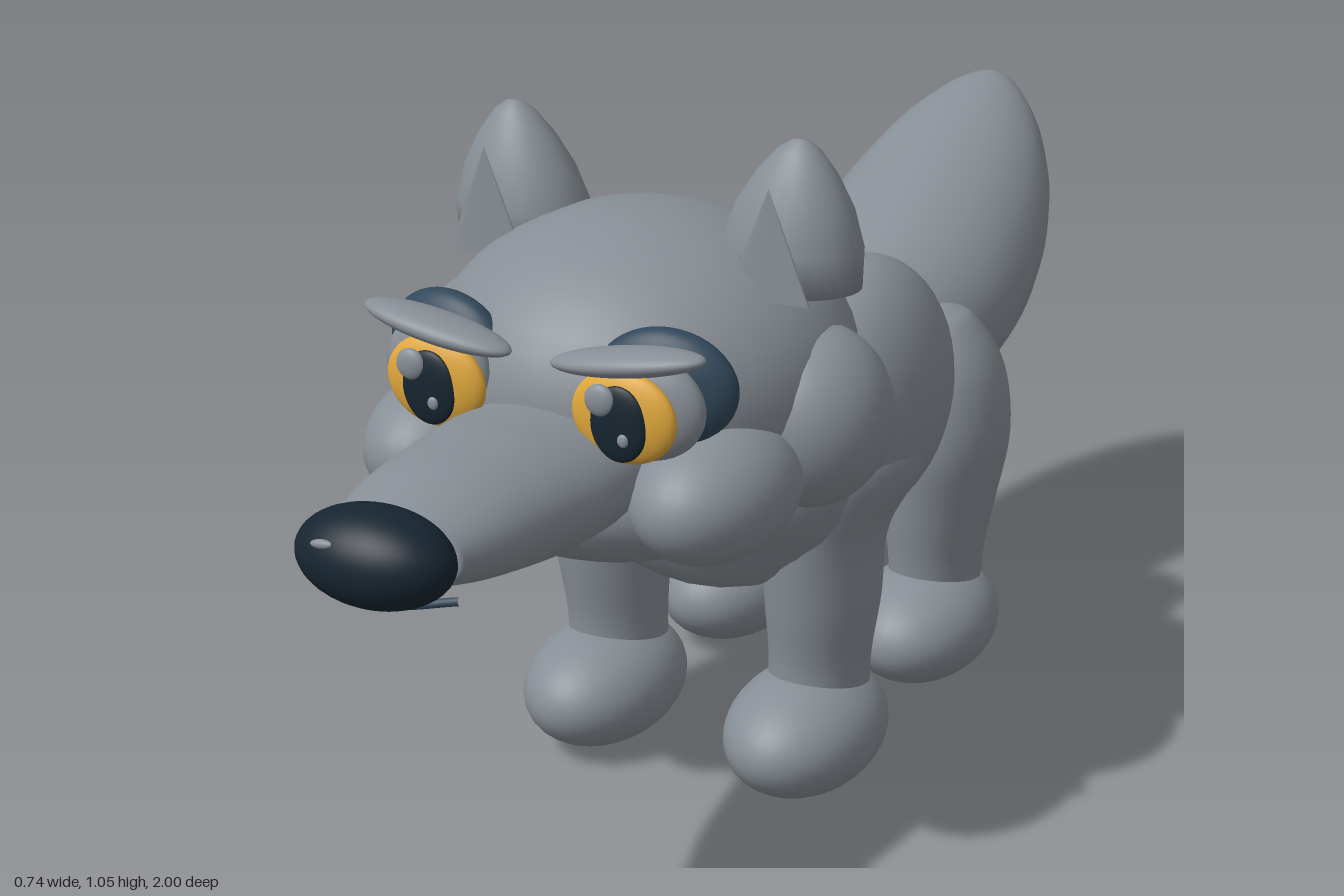
import * as THREE from 'three';

const mat = (name, color) => new THREE.MeshStandardMaterial({ name, color });

export function createModel() {
  const root = new THREE.Group();
  root.name = 'wolf';
  const grey = mat('greyFur', 0x878e95);
  const gold = mat('goldEye', 0xe0a83c);
  const blue = mat('blueLid', 0x31475a);
  const black = mat('blackNose', 0x172530);

  const add = (name, geo, material, pos = [0, 0, 0], rot = [0, 0, 0]) => {
    const m = new THREE.Mesh(geo, material);
    m.name = name;
    m.position.set(...pos);
    m.rotation.set(...rot);
    root.add(m);
    return m;
  };
  const ball = (name, material, pos, radii, rot) =>
    add(name, new THREE.SphereGeometry(1, 36, 24).scale(...radii), material, pos, rot);

  // Smooth loft through elliptical rings: [topY, topZ, bottomY, bottomZ, halfWidth, centreX].
  // Rings run backwards with "top" up, or upwards with "top" at the front.
  function loft(rings, side = 1, steps = 40, around = 32) {
    const top = new THREE.CatmullRomCurve3(
      rings.map(r => new THREE.Vector3(r[4], r[0], r[1])), false, 'catmullrom');
    const low = new THREE.CatmullRomCurve3(
      rings.map(r => new THREE.Vector3((r[5] || 0) * side, r[2], r[3])), false, 'catmullrom');
    const pos = [], idx = [];
    for (let i = 0; i <= steps; i++) {
      const a = top.getPoint(i / steps), b = low.getPoint(i / steps);
      const cy = (a.y + b.y) / 2, cz = (a.z + b.z) / 2;
      for (let j = 0; j < around; j++) {
        const t = j / around * Math.PI * 2, c = Math.cos(t);
        pos.push(b.x + a.x * Math.sin(t), cy + (a.y - cy) * c, cz + (a.z - cz) * c);
      }
    }
    for (let i = 0; i < steps; i++) {
      for (let j = 0; j < around; j++) {
        const k = (j + 1) % around, p = i * around, q = p + around;
        idx.push(p + j, p + k, q + j, p + k, q + k, q + j);
      }
    }
    // End caps
    for (const i of [0, steps]) {
      const a = top.getPoint(i / steps), b = low.getPoint(i / steps);
      const c = pos.length / 3, p = i * around;
      pos.push(b.x, (a.y + b.y) / 2, (a.z + b.z) / 2);
      for (let j = 0; j < around; j++) {
        const k = (j + 1) % around;
        idx.push(c, p + (i ? j : k), p + (i ? k : j));
      }
    }
    const g = new THREE.BufferGeometry();
    g.setAttribute('position', new THREE.Float32BufferAttribute(pos, 3));
    g.setIndex(idx);
    g.computeVertexNormals();
    return g;
  }

  // Body and tail
  add('body', loft([
    [0.58, 0.29, 0.5, 0.28, 0.1], [0.73, 0.2, 0.4, 0.22, 0.25],
    [0.77, 0.08, 0.31, 0.14, 0.27], [0.72, -0.1, 0.305, -0.02, 0.24],
    [0.655, -0.2, 0.29, -0.2, 0.215], [0.64, -0.33, 0.3, -0.32, 0.2],
    [0.6, -0.45, 0.36, -0.45, 0.16], [0.52, -0.48, 0.46, -0.48, 0.05],
  ]), grey);
  add('tail', loft([
    [0.62, -0.33, 0.42, -0.4, 0.13], [0.65, -0.4, 0.375, -0.49, 0.17],
    [0.715, -0.54, 0.38, -0.62, 0.2], [0.775, -0.68, 0.435, -0.77, 0.195],
    [0.825, -0.81, 0.53, -0.88, 0.165], [0.85, -0.9, 0.65, -0.95, 0.115],
    [0.857, -0.955, 0.75, -0.985, 0.06], [0.845, -0.985, 0.81, -0.998, 0.02],
  ]), grey);

  // Head
  ball('head', grey, [0, 0.72, 0.27], [0.3, 0.215, 0.305]);
  ball('jaw', grey, [0, 0.6, 0.37], [0.26, 0.125, 0.23]);
  add('snout', loft([
    [0.715, 0.9, 0.615, 0.9, 0.1], [0.735, 0.8, 0.585, 0.8, 0.125],
    [0.742, 0.68, 0.563, 0.68, 0.142], [0.74, 0.6, 0.56, 0.6, 0.15],
    [0.74, 0.43, 0.56, 0.43, 0.15],
  ]), grey);
  ball('nose', black, [0, 0.667, 0.93], [0.11, 0.064, 0.07]);
  ball('noseShine', grey, [-0.037, 0.697, 0.986], [0.017, 0.006, 0.006], [0, 0, 0.1]);
  add('mouth', new THREE.TubeGeometry(new THREE.CatmullRomCurve3([
    new THREE.Vector3(-0.085, 0.604, 0.88), new THREE.Vector3(0, 0.595, 0.91),
    new THREE.Vector3(0.085, 0.604, 0.88)]), 20, 0.006, 8), blue);

  // Ear profile: half width and height, rounded at the tip
  const earProfile = [[0, 0], [1, 0], [0.98, 0.055], [0.8, 0.11], [0.55, 0.155],
    [0.3, 0.187], [0.12, 0.2], [0, 0.202]].map(p => new THREE.Vector2(...p));
  const earShape = new THREE.LatheGeometry(earProfile, 32);

  for (const s of [1, -1]) {
    const side = s > 0 ? 'left' : 'right';
    const part = (name, material, [x, y, z], radii, [rx, ry, rz] = [0, 0, 0]) =>
      ball(side + name, material, [x * s, y, z], radii, [rx, ry * s, rz * s]);

    // Face bulges
    part('Cheek', grey, [0.255, 0.67, 0.26], [0.115, 0.13, 0.125]);
    part('Jowl', grey, [0.21, 0.62, 0.45], [0.107, 0.095, 0.15]);

    // Ears, leaning slightly outwards at the tip
    const ear = earShape.clone().scale(0.105, 1, 0.08);
    const p = ear.attributes.position;
    for (let i = 0; i < p.count; i++) p.setX(i, p.getX(i) + s * 0.08 * p.getY(i));
    ear.computeVertexNormals();
    add(side + 'Ear', ear, grey, [0.209 * s, 0.848, 0.238]);
    add(side + 'InnerEar', new THREE.ConeGeometry(0.062, 0.155, 24).scale(1, 1, 0.09),
      grey, [0.222 * s, 0.925, 0.325]);

    // Eyes
    part('EyeLid', blue, [0.168, 0.777, 0.507], [0.1, 0.08, 0.038], [0, 0.15, 0]);
    part('EyeBall', grey, [0.158, 0.76, 0.548], [0.086, 0.073, 0.035], [0, 0.1, 0]);
    part('Iris', gold, [0.144, 0.753, 0.576], [0.077, 0.064, 0.022]);
    part('Pupil', black, [0.145, 0.748, 0.592], [0.042, 0.052, 0.011]);
    ball(side + 'EyeShine', grey, [0.145 * s - 0.024, 0.779, 0.598], [0.022, 0.022, 0.01]);
    ball(side + 'EyeGlint', grey, [0.145 * s + 0.012, 0.731, 0.603], [0.008, 0.009, 0.004]);
    part('Brow', grey, [0.145, 0.826, 0.568], [0.115, 0.019, 0.039], [0, 0, 0.16]);

    // Front leg
    part('Shoulder', grey, [0.2, 0.612, 0], [0.132, 0.2, 0.202]);
    add(side + 'FrontLeg', loft([
      [0.1, 0.15, 0.1, -0.03, 0.075, 0.175], [0.2, 0.145, 0.2, -0.03, 0.075, 0.176],
      [0.3, 0.16, 0.3, -0.045, 0.084, 0.18], [0.42, 0.175, 0.41, -0.06, 0.09, 0.183],
      [0.53, 0.18, 0.52, -0.11, 0.115, 0.205], [0.62, 0.15, 0.62, -0.1, 0.1, 0.2],
    ], s), grey);
    part('FrontPaw', grey, [0.175, 0.097, 0.1], [0.115, 0.094, 0.16]);

    // Hind leg
    add(side + 'HindLeg', loft([
      [0.1, -0.29, 0.1, -0.46, 0.07, 0.175], [0.2, -0.28, 0.2, -0.46, 0.075, 0.176],
      [0.3, -0.26, 0.3, -0.47, 0.085, 0.185], [0.42, -0.24, 0.42, -0.485, 0.092, 0.198],
      [0.53, -0.255, 0.53, -0.47, 0.08, 0.195], [0.605, -0.3, 0.605, -0.425, 0.045, 0.185],
      [0.625, -0.345, 0.625, -0.385, 0.012, 0.18],
    ], s), grey);
    part('HindPaw', grey, [0.175, 0.097, -0.33], [0.115, 0.094, 0.16]);
  }
  return root;
}
